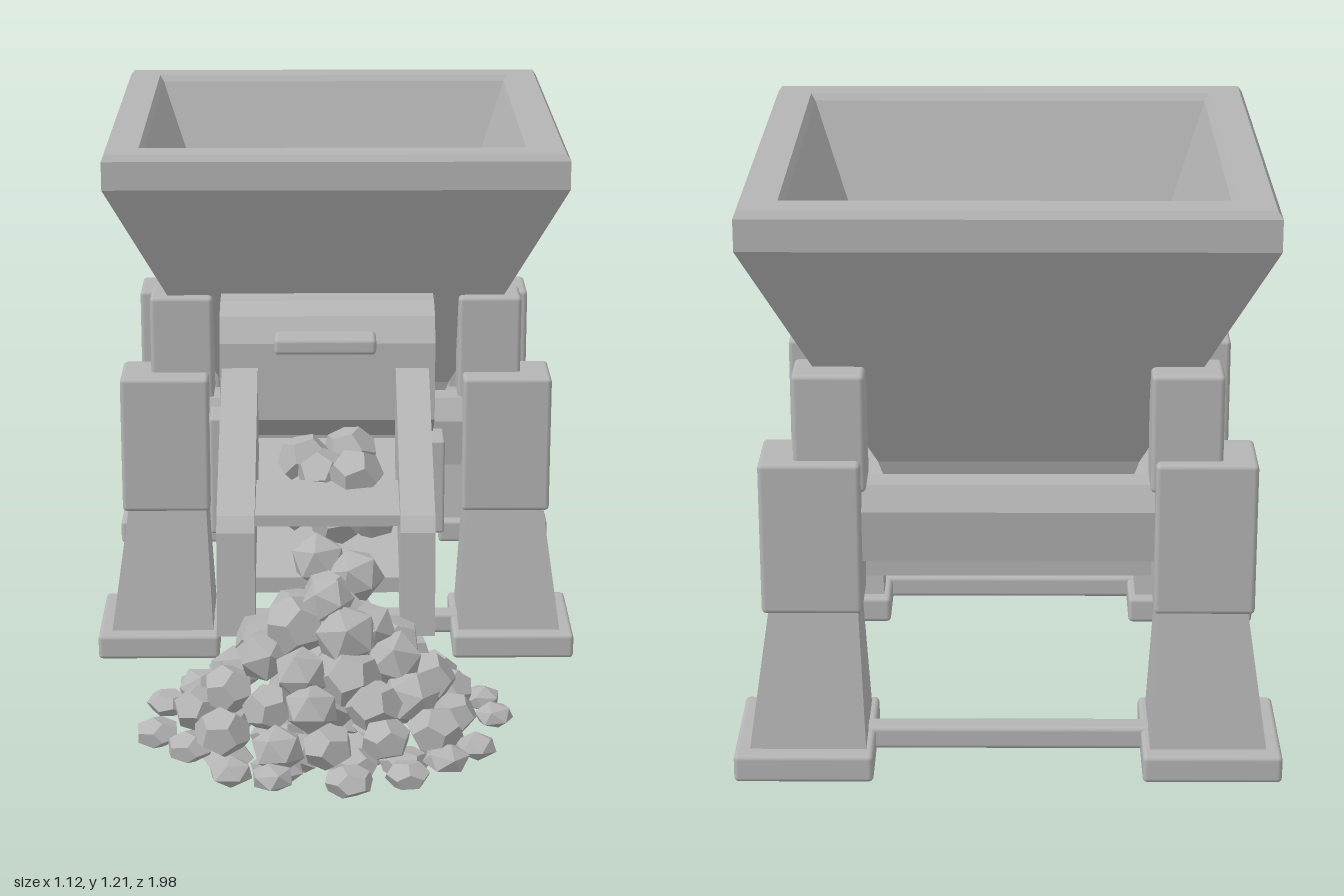
import * as THREE from 'three';
import { RoundedBoxGeometry } from 'three/addons/geometries/RoundedBoxGeometry.js';

const steel = new THREE.MeshStandardMaterial({ color: 0xb4b4b4 });
steel.name = 'grey';

function add(parent, name, geometry) {
  const mesh = new THREE.Mesh(geometry, steel);
  mesh.name = name;
  parent.add(mesh);
  return mesh;
}

// Softened box given by its limits on each axis
function box(parent, name, [x0, x1], [y0, y1], [z0, z1], r = 0.01) {
  const mesh = add(parent, name, new RoundedBoxGeometry(x1 - x0, y1 - y0, z1 - z0, 2, r));
  mesh.position.set((x0 + x1) / 2, (y0 + y1) / 2, (z0 + z1) / 2);
  return mesh;
}

// Rectangular sections [y, halfX, halfZ, centreX, centreZ] joined in order and capped
function loft(sections) {
  const pos = [];
  const loops = sections.map(([y, w, d, cx = 0, cz = 0]) =>
    [[-1, 1], [1, 1], [1, -1], [-1, -1]].map(([sx, sz]) => [cx + sx * w, y, cz + sz * d]));
  const quad = (a, b, c, d) => pos.push(...a, ...b, ...c, ...a, ...c, ...d);
  for (let i = 0; i + 1 < loops.length; i++) {
    for (let k = 0; k < 4; k++) {
      const n = (k + 1) % 4;
      quad(loops[i][k], loops[i][n], loops[i + 1][n], loops[i + 1][k]);
    }
  }
  quad(...[...loops[0]].reverse());
  quad(...loops[loops.length - 1]);
  const g = new THREE.BufferGeometry();
  g.setAttribute('position', new THREE.Float32BufferAttribute(pos, 3));
  g.computeVertexNormals();
  return g;
}

// Side profile of [z, y] points, extruded across x0..x1
function slab(parent, name, points, x0, x1) {
  const shape = new THREE.Shape(points.map(([z, y]) => new THREE.Vector2(z, y)));
  const g = new THREE.ExtrudeGeometry(shape, { depth: x1 - x0, bevelEnabled: false });
  g.rotateY(-Math.PI / 2).translate(x1, 0, 0);
  return add(parent, name, g);
}

function seeded(seed) {
  return () => {
    seed = (seed * 16807) % 2147483647;
    return seed / 2147483647;
  };
}

export function createModel() {
  const model = new THREE.Group();
  model.name = 'oreFeeder';
  const mid = -0.47;

  // Open hopper: outside wall, rim, then inside wall down to the floor
  add(model, 'hopper', loft([
    [0.44, 0.22, 0.22, 0, mid], [0.6, 0.27, 0.26, 0, mid], [1.13, 0.525, 0.52, 0, mid],
    [1.195, 0.525, 0.52, 0, mid], [1.21, 0.515, 0.51, 0, mid], [1.21, 0.445, 0.44, 0, mid],
    [1.195, 0.435, 0.43, 0, mid], [0.62, 0.235, 0.235, 0, mid],
  ]));
  slab(model, 'hopperUnderside',
    [[-0.12, 0.45], [-0.4, 0.435], [-0.79, 0.37], [-0.79, 0.41], [-0.4, 0.48], [-0.12, 0.49]], -0.34, 0.34);
  box(model, 'innerBracket', [-0.26, 0.22], [0.8, 0.85], [-0.215, -0.165], 0.008);

  // Four legs with feet, sleeves and upper posts
  const legs = new THREE.Group();
  legs.name = 'legs';
  model.add(legs);
  for (const s of [-1, 1]) {
    for (const [z, postZ] of [[-0.085, -0.12], [-0.855, -0.853]]) {
      const span = (a, b) => (s > 0 ? [a, b] : [-b, -a]);
      const footZ = z + (z > -0.4 ? 0.005 : -0.005);
      box(legs, 'foot', span(0.275, 0.56), [0, 0.06], [footZ - 0.14, footZ + 0.14]);
      add(legs, 'taperedLeg', loft([
        [0.05, 0.12, 0.112, s * 0.41, z], [0.36, 0.09, 0.065, s * 0.395, z],
      ]));
      box(legs, 'sleeve', span(0.295, 0.5), [0.345, 0.67], [z - 0.076, z + 0.076]);
      box(legs, 'upperPost', span(0.285, 0.43), [0.6, 0.85], [postZ - 0.055, postZ + 0.055]);
    }
  }

  // Frame beams between sleeves and thin ties between feet
  const frame = new THREE.Group();
  frame.name = 'frame';
  model.add(frame);
  for (const s of [-1, 1]) {
    const beam = add(frame, 'sideBeam', loft([
      [0.445, 0.05, 0.33], [0.55, 0.06, 0.33], [0.6, 0.03, 0.33],
    ]));
    beam.position.set(s * 0.37, 0, mid);
    box(frame, 'sideTie', s > 0 ? [0.385, 0.435] : [-0.435, -0.385], [0.065, 0.12], [-0.82, -0.12]);
  }
  for (const z of [-0.085, -0.855]) {
    const beam = add(frame, 'crossBeam', loft([
      [0.45, 0.33, 0.045], [0.56, 0.33, 0.055], [0.61, 0.33, 0.03],
    ]));
    beam.position.set(0, 0, z);
    box(frame, 'crossTie', [-0.32, 0.32], [0.015, 0.065], [z - 0.025, z + 0.025]);
  }

  // Discharge housing with hood, cheeks and handle
  const cx = -0.02;
  const chute = new THREE.Group();
  chute.name = 'chute';
  model.add(chute);
  slab(chute, 'hood',
    [[-0.15, 0.855], [-0.02, 0.855], [0.04, 0.835], [0.075, 0.78], [0.08, 0.6], [-0.15, 0.45]],
    cx - 0.245, cx + 0.245);
  for (const s of [-1, 1]) {
    const x = cx + s * 0.25;
    box(chute, 'cheek', [x - 0.02, x + 0.02], [0.32, s < 0 ? 0.6 : 0.545], [-0.03, 0.07], 0.006);
  }
  box(chute, 'hoodHandle', [-0.14, 0.09], [0.768, 0.806], [0.055, 0.13], 0.01);

  // Sloping chute walls, bed, cross plate and support
  const wall = [[0.06, 0.725], [0.1, 0.72], [0.5, 0.52], [0.525, 0.49], [0.545, 0.26], [0.14, 0.43], [0.06, 0.47]];
  slab(chute, 'rightWall', wall, -0.26, -0.178);
  slab(chute, 'leftWall', wall, 0.135, 0.21);
  slab(chute, 'bed', [[0, 0.53], [0.44, 0.355], [0.44, 0.32], [0, 0.49]], -0.185, 0.145);
  slab(chute, 'crossPlate', [[0.31, 0.535], [0.47, 0.51], [0.47, 0.485], [0.31, 0.51]], -0.185, 0.145);
  box(chute, 'bedSupport', [-0.15, 0.11], [0.405, 0.445], [0.14, 0.24], 0.008);

  // Faceted rocks heaped below the chute, plus a few on its bed
  const rand = seeded(71);
  const rocks = new THREE.Group();
  rocks.name = 'rocks';
  model.add(rocks);
  const shapes = [new THREE.DodecahedronGeometry(1), new THREE.IcosahedronGeometry(1, 0)];
  const rock = (x, y, z, r, flat = 0.85) => {
    const holder = new THREE.Group();
    holder.name = 'rock';
    holder.position.set(x, y, z);
    holder.scale.set(r, r * flat, r);
    const stone = add(holder, 'stone', shapes[rand() < 0.65 ? 0 : 1]);
    stone.rotation.set(rand() * 6, rand() * 6, rand() * 6);
    rocks.add(holder);
  };
  // Rings: radius, count, height, rock size, flattening
  const rings = [
    [0.1, 6, 0.07, 0.06, 0.6], [0.21, 11, 0.075, 0.055, 0.6], [0.315, 17, 0.105, 0.049, 0.6],
    [0.25, 14, 0.15, 0.057, 0.85], [0.19, 11, 0.2, 0.062, 0.9], [0.13, 8, 0.26, 0.064, 0.95],
    [0.075, 5, 0.32, 0.066, 0.95], [0.03, 2, 0.375, 0.06, 0.95], [0.05, 4, 0.18, 0.08, 1],
  ];
  rings.forEach(([radius, count, y, size, flat], i) => {
    for (let k = 0; k < count; k++) {
      const a = ((k + 0.5 * (i % 2) + 0.3 * (rand() - 0.5)) / count) * Math.PI * 2;
      const r = radius * (0.95 + 0.1 * rand());
      rock(cx + Math.cos(a) * r * 1.13, y + 0.03 * (rand() - 0.5),
        0.625 + Math.sin(a) * r, size * (0.9 + 0.2 * rand()), flat);
    }
  });
  for (const [x, y, z] of [
    [-0.07, 0.545, 0.2], [0.03, 0.55, 0.16], [0.04, 0.545, 0.3], [-0.03, 0.53, 0.26],
    [-0.09, 0.47, 0.28], [0.0, 0.46, 0.34], [0.08, 0.46, 0.31], [-0.04, 0.4, 0.45], [0.04, 0.38, 0.49],
  ]) rock(x, y, z, 0.064, 0.95);

  return model;
}
